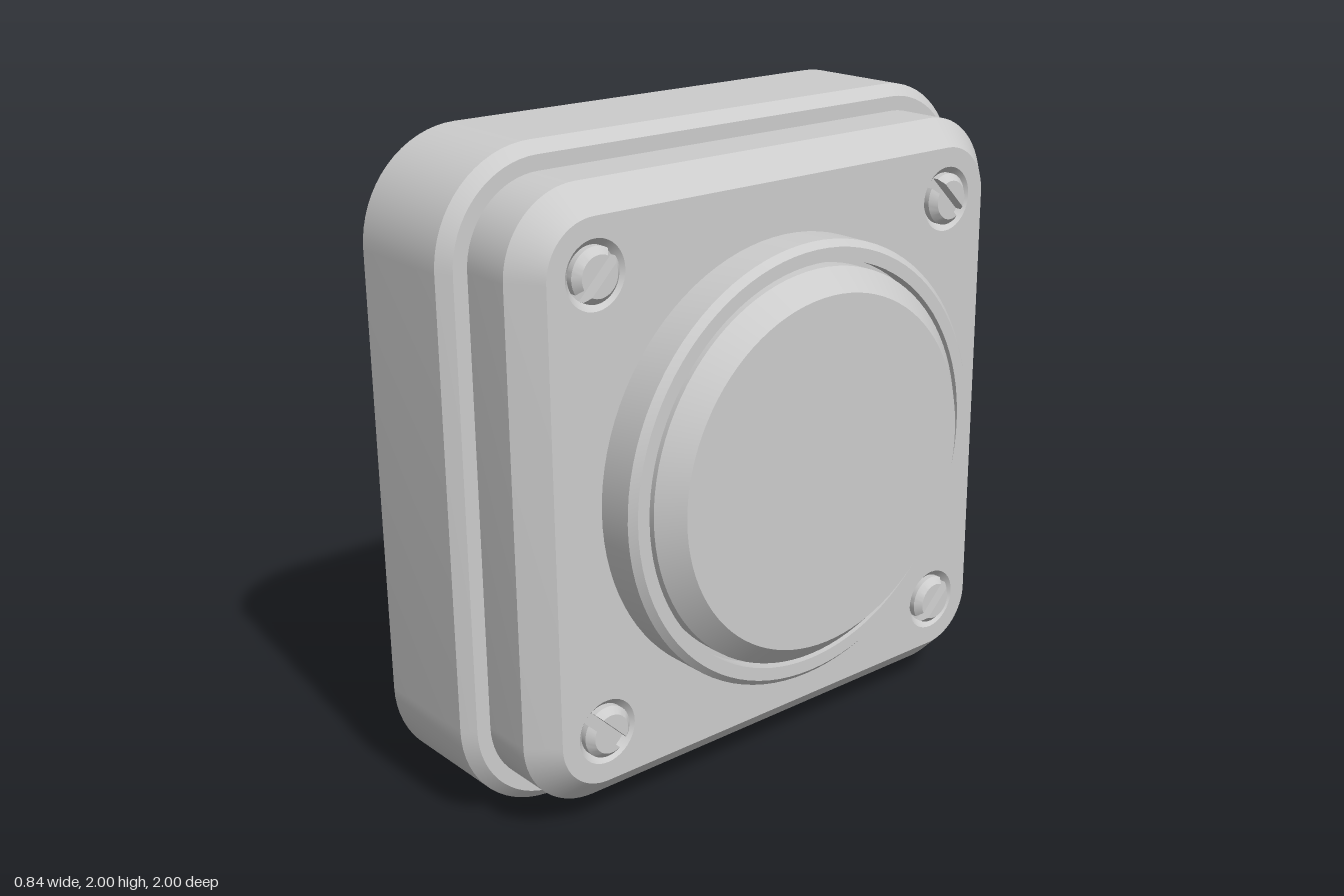
import * as THREE from 'three';
import { toCreasedNormals } from 'three/addons/utils/BufferGeometryUtils.js';

const material = new THREE.MeshStandardMaterial({ color: 0xcccccc });
const CORNER = 0.68; // shared centre of the corner arcs and the screws

function addPart(parent, name, geometry) {
  const mesh = new THREE.Mesh(toCreasedNormals(geometry, 0.5), material);
  mesh.name = name;
  parent.add(mesh);
  return mesh;
}

// Rounded square outline, counterclockwise; radius is the corner arc
function roundedSquare(radius, steps = 16) {
  const points = [];
  for (let q = 0; q < 4; q++) {
    const mid = (q + 0.5) * Math.PI / 2;
    const cx = CORNER * Math.sign(Math.cos(mid)), cy = CORNER * Math.sign(Math.sin(mid));
    for (let i = 0; i <= steps; i++) {
      const a = (q + i / steps) * Math.PI / 2;
      points.push(new THREE.Vector2(cx + radius * Math.cos(a), cy + radius * Math.sin(a)));
    }
  }
  return points;
}

// Half disc lying beyond a chord at distance h from the centre
function discSegment(radius, h, steps = 20) {
  const start = Math.asin(h / radius), points = [];
  for (let i = 0; i <= steps; i++) {
    const a = start + (Math.PI - 2 * start) * i / steps;
    points.push(new THREE.Vector2(radius * Math.cos(a), radius * Math.sin(a)));
  }
  return points;
}

// Skin convex outlines stacked along z, with optional end caps
function loft(sections, capBack, capFront) {
  const pos = [];
  const tri = (...vs) => vs.forEach(([p, z]) => pos.push(p.x, p.y, z));
  for (let k = 0; k + 1 < sections.length; k++) {
    const [A, za] = sections[k], [B, zb] = sections[k + 1];
    for (let i = 0; i < A.length; i++) {
      const j = (i + 1) % A.length;
      tri([A[i], za], [A[j], za], [B[j], zb]);
      tri([A[i], za], [B[j], zb], [B[i], zb]);
    }
  }
  const [first, z0] = sections[0], [last, z1] = sections[sections.length - 1];
  for (let i = 1; i + 1 < first.length; i++) {
    if (capBack) tri([first[0], z0], [first[i + 1], z0], [first[i], z0]);
    if (capFront) tri([last[0], z1], [last[i], z1], [last[i + 1], z1]);
  }
  const geometry = new THREE.BufferGeometry();
  geometry.setAttribute('position', new THREE.Float32BufferAttribute(pos, 3));
  return geometry;
}

// Revolve [radius, z] pairs about the z axis
function turned(profile, segments) {
  const points = profile.map(([r, z]) => new THREE.Vector2(r, z));
  return new THREE.LatheGeometry(points, segments).rotateX(Math.PI / 2);
}

export function createModel() {
  const model = new THREE.Group();
  model.name = 'squareButtonUnit';

  // Built facing +z, then turned so its face points to +x
  const unit = new THREE.Group();
  unit.name = 'housing';
  unit.rotation.y = Math.PI / 2;
  unit.position.y = 1;
  model.add(unit);

  // Thick rear body with a chamfered front edge
  addPart(unit, 'rearBody', loft([
    [roundedSquare(0.32), -0.42], [roundedSquare(0.32), -0.06], [roundedSquare(0.285), -0.025],
  ], true, true));

  // Smaller front cover: sloped rim, and a face pierced for the screws
  addPart(unit, 'coverRim', loft([
    [roundedSquare(0.24), -0.025], [roundedSquare(0.24), 0.14], [roundedSquare(0.16), 0.22],
  ], false, false));
  const face = new THREE.Shape(roundedSquare(0.16));
  for (const x of [-CORNER, CORNER]) for (const y of [-CORNER, CORNER]) {
    face.holes.push(new THREE.Path().absarc(x, y, 0.1, 0, Math.PI * 2, true));
  }
  addPart(unit, 'coverFace', new THREE.ShapeGeometry(face, 20).translate(0, 0, 0.22));

  // Round bezel with a narrow groove around the central cap
  addPart(unit, 'bezel', turned([
    [0.68, 0.22], [0.68, 0.335], [0.66, 0.355], [0.62, 0.355], [0.62, 0.3], [0.605, 0.3],
  ], 96));
  addPart(unit, 'centralCap', turned([[0.605, 0.3], [0.605, 0.355], [0.54, 0.42], [0, 0.42]], 96));

  // Slotted screws in countersunk seats, slots across the diagonals
  for (const sx of [-1, 1]) for (const sy of [-1, 1]) {
    const screw = new THREE.Group();
    screw.name = 'screw';
    screw.position.set(sx * CORNER, sy * CORNER, 0);
    screw.rotation.z = -sx * sy * Math.PI / 4;
    unit.add(screw);
    addPart(screw, 'screwSeat', turned([[0.1, 0.22], [0.08, 0.2], [0, 0.2]], 40));
    for (const turn of [0, Math.PI]) {
      const half = addPart(screw, 'screwHeadHalf', loft([
        [discSegment(0.08, 0.018), 0.2], [discSegment(0.08, 0.018), 0.22], [discSegment(0.06, 0.018), 0.24],
      ], false, true));
      half.rotation.z = turn;
    }
  }
  return model;
}
